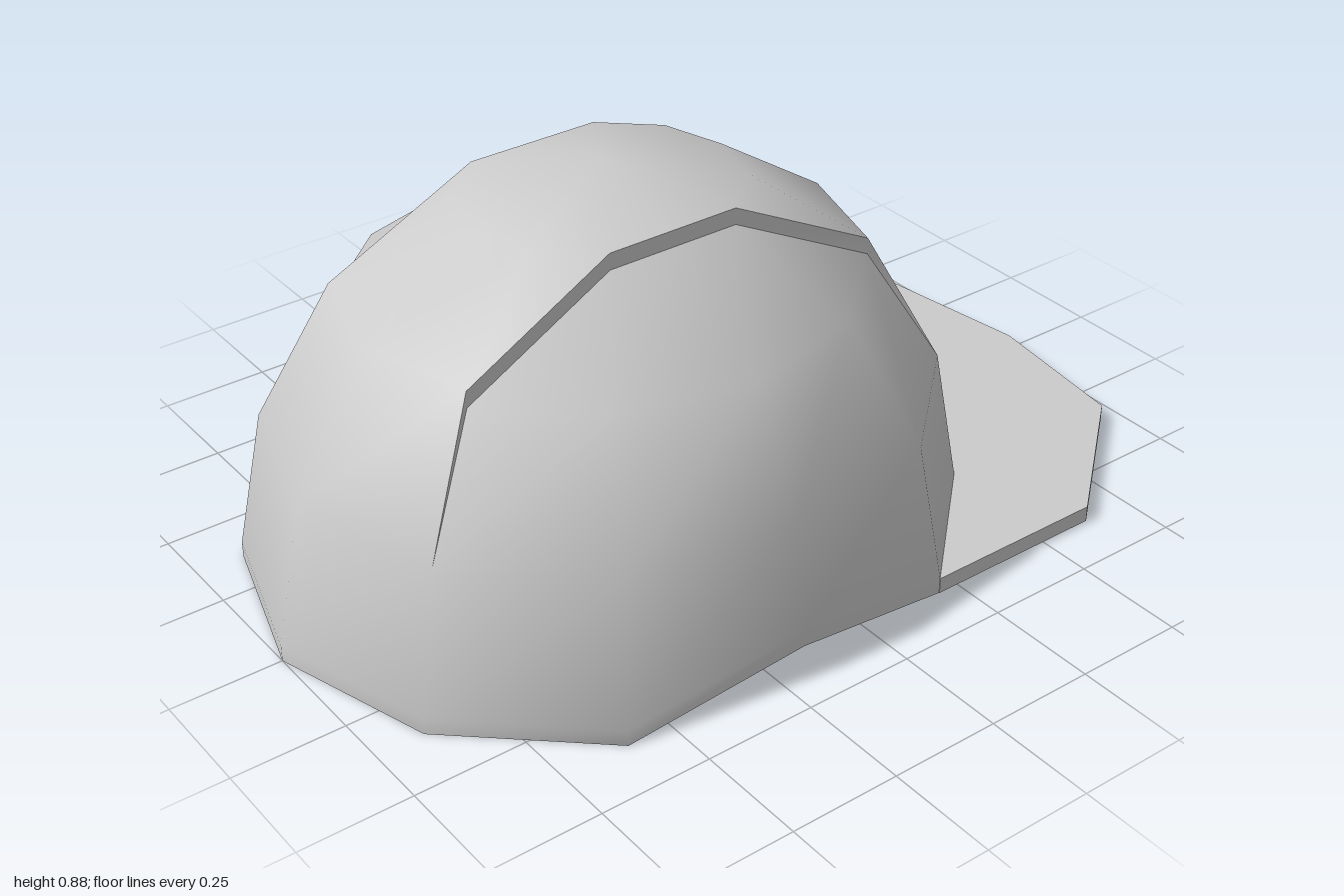
import * as THREE from 'three';
import { toCreasedNormals } from 'three/addons/utils/BufferGeometryUtils.js';

const SIDES = 12;
const CENTRE_Z = 0.2;
const STEP = 0.037; // height of the crest step, the rim band and the brim

// Rings from rim to crown: [x radius, z radius, height, x at the flattened sides]
const OUTER = [[0.724, 0.8, 0, 0.667], [0.67, 0.735, 0.35, 0.63], [0.51, 0.57, 0.648, 0.51], [0.28, 0.305, 0.822, 0.2425]];
const INNER = [[0.67, 0.74, 0, 0.625], [0.58, 0.685, 0.35, 0.58], [0.46, 0.52, 0.58, 0.46], [0.22, 0.26, 0.74, 0.22]];
const SIDE_LIFT = 0.075; // the rim rises at both sides

function ringPoint(rings, ring, col) {
  const [rx, rz, y, sideX] = rings[ring];
  const a = (col * Math.PI * 2) / SIDES;
  const side = col % 6 === 3;
  const x = side ? Math.sign(Math.sin(a)) * sideX : rx * Math.sin(a);
  return [x, side && ring === 0 ? SIDE_LIFT : y, CENTRE_Z + rz * Math.cos(a)];
}

// Outer shell point; low points sit under the crest step
function outer(ring, col, low = false) {
  const p = ringPoint(OUTER, ring, col);
  if (low && ring >= 2) p[1] -= STEP;
  return p;
}

const inner = (ring, col) => ringPoint(INNER, ring, col);

// Top edge of the band around the rim: upright, but sloping above the brim
function band(col) {
  const p = outer(0, col);
  p[1] += STEP;
  if (col >= 5 && col <= 7) {
    const up = outer(1, col);
    for (const axis of [0, 2]) p[axis] = THREE.MathUtils.lerp(p[axis], up[axis], STEP / up[1]);
  }
  return p;
}

// Collects polygons as triangle fans
function surface() {
  const pos = [];
  return {
    face(...pts) {
      for (let i = 1; i < pts.length - 1; i++) pos.push(...pts[0], ...pts[i], ...pts[i + 1]);
    },
    build(crease) {
      const g = new THREE.BufferGeometry();
      g.setAttribute('position', new THREE.Float32BufferAttribute(pos, 3));
      return toCreasedNormals(g, crease);
    },
  };
}

function shellGeometry() {
  const s = surface();
  const apex = [0, 0.885, CENTRE_Z];
  for (let i = 0; i < SIDES; i++) {
    const j = i + 1;
    const k = i % 6; // position within a half turn
    const low = k >= 1 && k <= 4;
    s.face(outer(0, i), outer(0, j), band(j), band(i));
    s.face(band(i), band(j), outer(1, j), outer(1, i));
    s.face(outer(1, i), outer(1, j), outer(2, j, low), outer(2, i, low));
    if (k === 1) {
      // Panel corner and crest corner split by the step
      s.face(outer(2, i, true), outer(2, j, true), outer(3, j, true));
      s.face(outer(2, i), outer(3, j), outer(3, i));
    } else if (k === 4) {
      s.face(outer(2, i, true), outer(2, j, true), outer(3, i, true));
      s.face(outer(2, j), outer(3, j), outer(3, i));
    } else {
      s.face(outer(2, i, low), outer(2, j, low), outer(3, j, low), outer(3, i, low));
    }
    s.face(outer(3, i), outer(3, j), apex);
  }
  // Step walls along both edges of the crest
  const edge = [[1, 1], [2, 1], [3, 2], [3, 4], [2, 5], [1, 5]];
  for (const turn of [0, 6]) {
    for (let n = 0; n < edge.length - 1; n++) {
      const [r0, c0] = edge[n], [r1, c1] = edge[n + 1];
      const pts = [outer(r0, c0 + turn, true), outer(r1, c1 + turn, true)];
      if (r1 > 1) pts.push(outer(r1, c1 + turn));
      if (r0 > 1) pts.push(outer(r0, c0 + turn));
      s.face(...pts);
    }
  }
  return s.build(0.8);
}

function liningGeometry() {
  const s = surface();
  for (let i = 0; i < SIDES; i++) {
    const j = i + 1;
    for (let r = 0; r < 3; r++) s.face(inner(r, j), inner(r, i), inner(r + 1, i), inner(r + 1, j));
    s.face(inner(3, j), inner(3, i), [0, 0.8, CENTRE_Z]);
  }
  return s.build(0.9);
}

function rimGeometry() {
  const s = surface();
  for (let i = 0; i < SIDES; i++) s.face(outer(0, i), inner(0, i), inner(0, i + 1), outer(0, i + 1));
  return s.build(0.1);
}

// Flat peak whose inner edge follows the shell
function brimGeometry() {
  const pts = [[0.628, -0.2], [0.628, -0.63], [0.36, -0.95], [0, -1], [-0.36, -0.95], [-0.628, -0.63], [-0.628, -0.2]];
  for (let c = 8; c >= 4; c--) {
    const [x, , z] = inner(0, c);
    pts.push([x, z]);
  }
  const shape = new THREE.Shape(pts.map(([x, z]) => new THREE.Vector2(x, z)));
  const g = new THREE.ExtrudeGeometry(shape, { depth: STEP, bevelEnabled: false });
  return toCreasedNormals(g.rotateX(Math.PI / 2).translate(0, STEP, 0), 0.715);
}

export function createModel() {
  const group = new THREE.Group();
  group.name = 'hardHat';
  const material = new THREE.MeshStandardMaterial({ color: 0xcccccc });
  const parts = {
    shell: shellGeometry(),
    lining: liningGeometry(),
    rim: rimGeometry(),
    brim: brimGeometry(),
  };
  for (const [name, geometry] of Object.entries(parts)) {
    const mesh = new THREE.Mesh(geometry, material);
    mesh.name = name;
    group.add(mesh);
  }
  return group;
}
